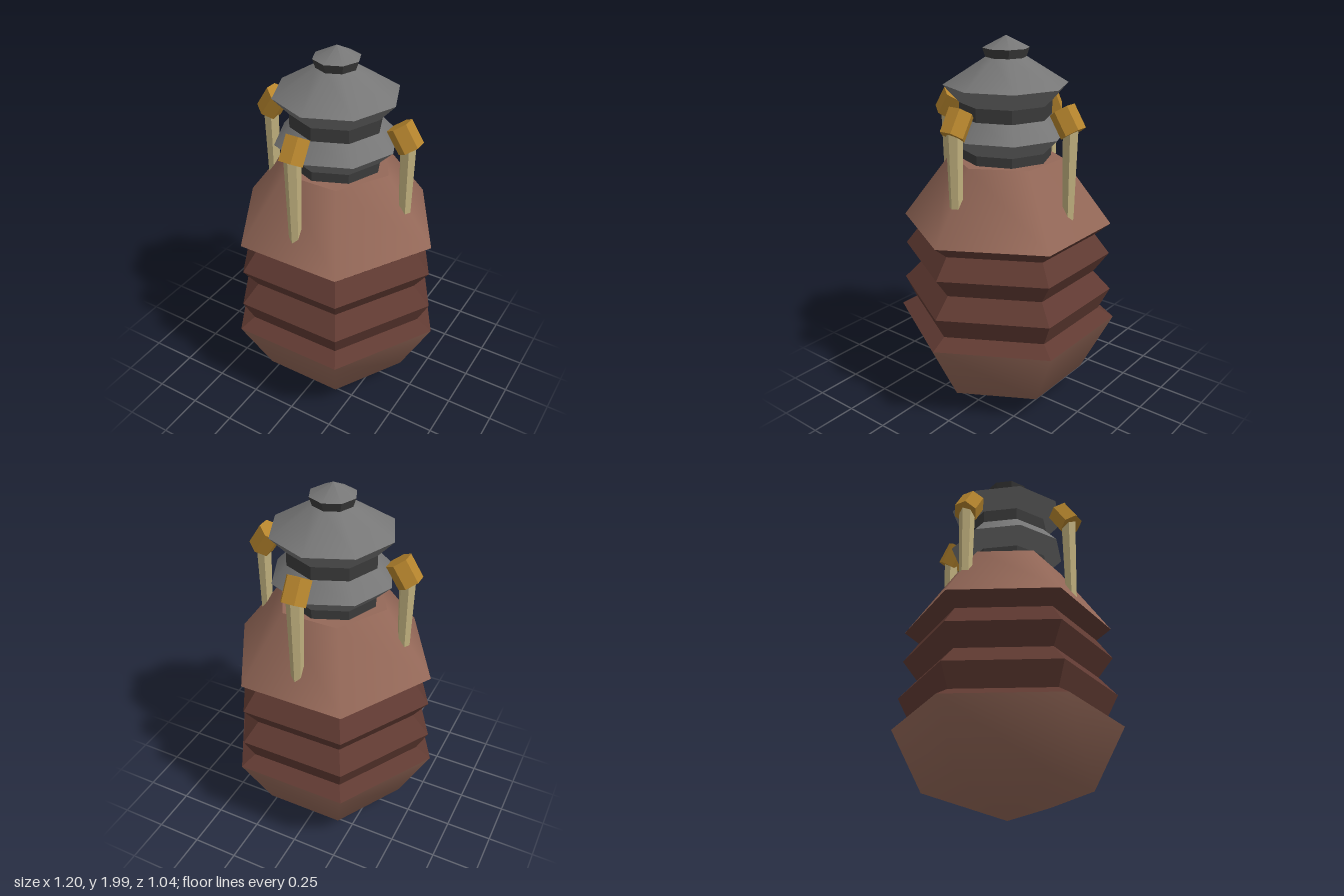
import * as THREE from 'three';

const mat = (name, color) => {
  const m = new THREE.MeshStandardMaterial({ color });
  m.name = name;
  return m;
};

// Faceted copy: every face keeps its own normal
function faceted(geometry) {
  const g = geometry.toNonIndexed();
  g.computeVertexNormals();
  return g;
}

export function createModel() {
  const clay = mat('clay', 0x946858);
  const darkClay = mat('dark clay', 0x603a32);
  const grey = mat('grey metal', 0x777777);
  const darkGrey = mat('dark metal', 0x3a3a3a);
  const gold = mat('gold', 0xb5842d);
  const bone = mat('bone', 0xc0b07e);

  const model = new THREE.Group();
  model.name = 'urn';

  // Turned part from a [radius, height] profile, running bottom to top
  function turned(name, material, sides, profile, flat = false) {
    const points = profile.map(([r, y]) => new THREE.Vector2(r, y));
    const g = new THREE.LatheGeometry(points, sides, Math.PI / 2);
    const mesh = new THREE.Mesh(flat ? faceted(g) : g, material);
    mesh.name = name;
    model.add(mesh);
  }

  // Six-sided body
  turned('bowl', clay, 6, [[0, 0.01], [0.43, 0.15], [0.6, 0.48]]);
  turned('bellows', darkClay, 6, [
    [0.6, 0.48], [0.515, 0.53], [0.575, 0.65], [0.48, 0.75],
    [0.56, 0.86], [0.48, 0.965], [0.56, 1.03],
  ], true);
  turned('shoulder', clay, 6, [[0.56, 1.03], [0.3, 1.38]]);
  turned('shoulderTop', clay, 6, [[0.3, 1.38], [0, 1.38]]);

  // Eight-sided lid: dark necks between grey flared rings
  turned('lowerNeck', darkGrey, 8, [[0.24, 1.37], [0.24, 1.43]], true);
  turned('ringUnderside', grey, 8, [[0.24, 1.43], [0.32, 1.51]]);
  turned('ringTop', grey, 8, [[0.32, 1.51], [0.24, 1.6]]);
  turned('upperNeck', darkGrey, 8, [[0.24, 1.6], [0.24, 1.67]], true);
  turned('roofUnderside', grey, 8, [[0.24, 1.67], [0.322, 1.76]]);
  turned('roof', grey, 8, [[0.322, 1.76], [0.105, 1.895]]);
  turned('knobCollar', darkGrey, 8, [[0.105, 1.895], [0.12, 1.94]], true);
  turned('knobCap', grey, 8, [[0.12, 1.94], [0, 2]]);

  // Four hanging fangs with tilted hexagonal caps
  const capGeometry = faceted(new THREE.CylinderGeometry(0.067, 0.067, 0.128, 6));
  const fangGeometry = faceted(new THREE.CylinderGeometry(0.043, 0.031, 0.5, 6));
  for (let i = 0; i < 4; i++) {
    const fangGroup = new THREE.Group();
    fangGroup.name = 'fang' + (i + 1);

    const cap = new THREE.Mesh(capGeometry, gold);
    cap.name = 'fangCap';
    cap.position.set(0.38, 1.617, 0);
    cap.rotation.z = 0.57;

    const fang = new THREE.Mesh(fangGeometry, bone);
    fang.name = 'fangTooth';
    fang.position.set(0.398, 1.355, 0);
    fang.rotation.set(0, Math.PI / 2, 0);

    fangGroup.add(cap, fang);
    fangGroup.rotation.y = (i * Math.PI) / 2;
    model.add(fangGroup);
  }
  return model;
}
